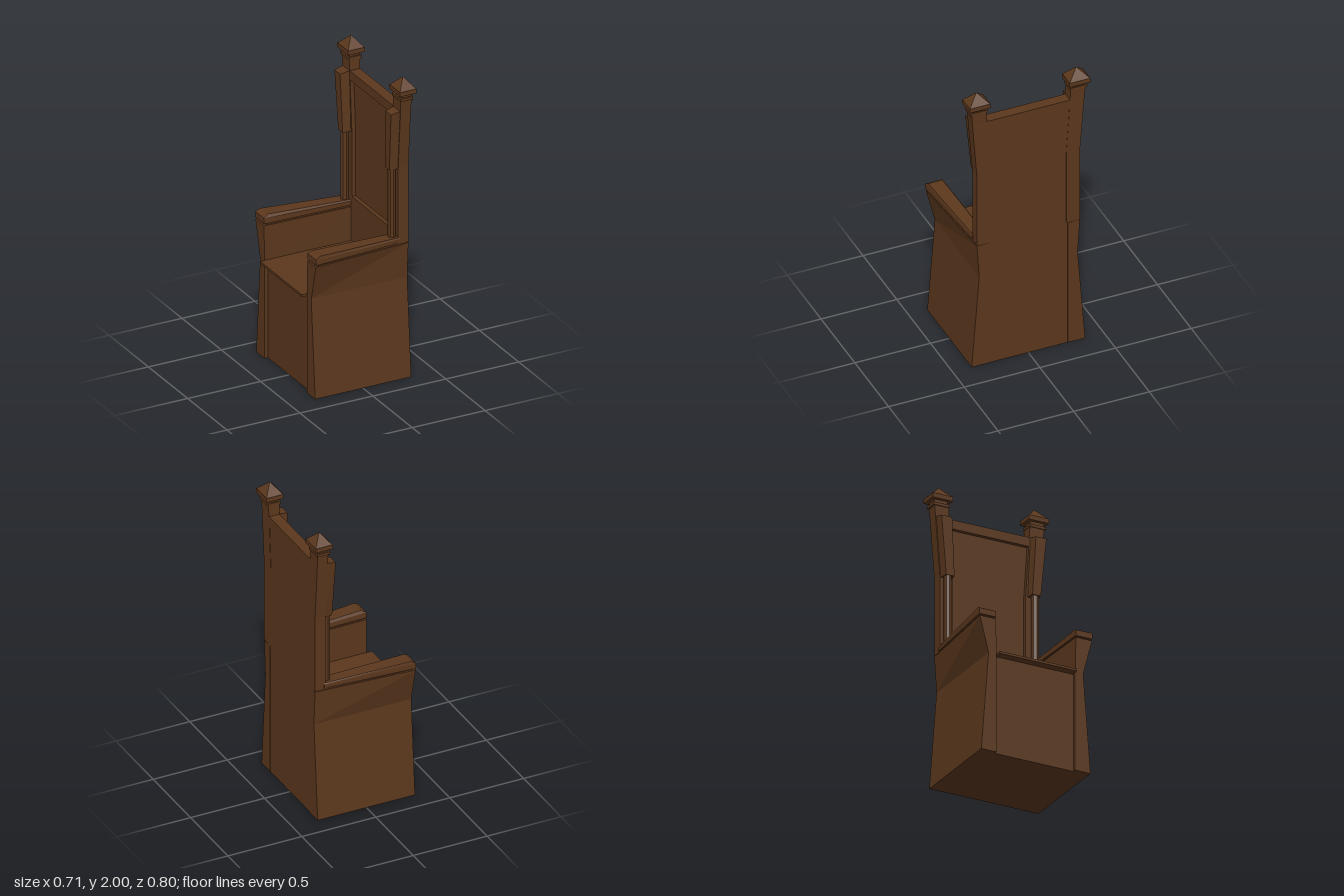
import * as THREE from 'three';

const wood = new THREE.MeshStandardMaterial({ color: 0x5c381d, flatShading: true, roughness: 0.9 });

function add(parent, name, geometry, x = 0, y = 0, z = 0) {
  const mesh = new THREE.Mesh(geometry, wood);
  mesh.name = name;
  mesh.position.set(x, y, z);
  parent.add(mesh);
  return mesh;
}

// Box given by its limits on each axis
function block(parent, name, x0, x1, y0, y1, z0, z1) {
  return add(parent, name, new THREE.BoxGeometry(x1 - x0, y1 - y0, z1 - z0),
    (x0 + x1) / 2, (y0 + y1) / 2, (z0 + z1) / 2);
}

// Stack of four-cornered rings, mirrored by side (+1 or -1).
// Each ring: [y at x0, y at x1, x0, x1, inner z at x0, outer z at x0, inner z at x1, outer z at x1]
function loft(side, rings) {
  const loops = rings.map(([ya, yb, x0, x1, inA, outA, inB, outB]) => {
    const loop = [[x0, ya, outA * side], [x1, yb, outB * side], [x1, yb, inB * side], [x0, ya, inA * side]];
    return side > 0 ? loop : loop.reverse();
  });
  const pos = [];
  const quad = (a, b, c, d) => [a, b, c, a, c, d].forEach((p) => pos.push(...p));
  for (let j = 0; j < loops.length - 1; j++) {
    const lo = loops[j], hi = loops[j + 1];
    for (let i = 0; i < 4; i++) {
      const k = (i + 1) % 4;
      quad(lo[i], lo[k], hi[k], hi[i]);
    }
  }
  quad(...[...loops[0]].reverse());
  quad(...loops[loops.length - 1]);
  const geometry = new THREE.BufferGeometry();
  geometry.setAttribute('position', new THREE.Float32BufferAttribute(pos, 3));
  geometry.computeVertexNormals();
  return geometry;
}

export function createModel() {
  const chair = new THREE.Group();
  chair.name = 'highBackChair';

  // Seat, closed front panel below it, and the lower back
  block(chair, 'seat', -0.36, 0.27, 0.645, 0.66, -0.265, 0.265);
  block(chair, 'baseCore', -0.305, 0.328, 0, 0.648, -0.29, 0.29);
  block(chair, 'lowerBack', 0.26, 0.328, 0.64, 0.89, -0.3, 0.3);

  // Framed back with a recessed panel
  block(chair, 'backPanel', 0.285, 0.328, 0.885, 1.77, -0.29, 0.29);
  block(chair, 'backTopRail', 0.26, 0.33, 1.73, 1.79, -0.29, 0.29);
  block(chair, 'backBottomRail', 0.26, 0.328, 0.885, 0.96, -0.29, 0.29);

  for (const side of [1, -1]) {
    const half = new THREE.Group();
    half.name = side > 0 ? 'leftSide' : 'rightSide';
    chair.add(half);

    // Waisted side wall, flaring towards the front of the arm
    add(half, 'sideWall', loft(side, [
      [0, 0, -0.328, 0.33, 0.27, 0.375, 0.26, 0.375],
      [0.65, 0.65, -0.328, 0.33, 0.27, 0.325, 0.26, 0.325],
      [0.886, 0.886, -0.328, 0.33, 0.275, 0.385, 0.26, 0.34],
    ]));

    // Shadow gap under the arm
    add(half, 'armGap', loft(side, [
      [0.88, 0.88, -0.31, 0.328, 0.285, 0.37, 0.268, 0.335],
      [0.902, 0.902, -0.31, 0.328, 0.285, 0.37, 0.268, 0.335],
    ]));

    // Arm rest with bevelled top edges
    add(half, 'armRest', loft(side, [
      [0.898, 0.898, -0.328, 0.27, 0.275, 0.387, 0.26, 0.345],
      [0.936, 0.924, -0.328, 0.27, 0.275, 0.387, 0.26, 0.345],
      [0.953, 0.932, -0.298, 0.27, 0.286, 0.381, 0.268, 0.34],
    ]));

    // Back post, flaring outward at the top
    add(half, 'backPost', loft(side, [
      [0.892, 0.892, 0.26, 0.33, 0.25, 0.34, 0.25, 0.34],
      [1.4, 1.4, 0.26, 0.33, 0.25, 0.34, 0.25, 0.34],
      [1.79, 1.79, 0.26, 0.33, 0.275, 0.37, 0.275, 0.37],
      [1.865, 1.865, 0.258, 0.333, 0.278, 0.376, 0.278, 0.376],
    ]));

    // Slim column and the wing it carries
    add(half, 'column', new THREE.CylinderGeometry(0.026, 0.026, 0.48, 8), 0.236, 1.16, 0.3 * side);
    add(half, 'wing', loft(side, [
      [1.39, 1.39, 0.207, 0.27, 0.268, 0.325, 0.262, 0.335],
      [1.776, 1.79, 0.2, 0.27, 0.288, 0.36, 0.28, 0.366],
    ]));

    // Post collar, neck and pyramid finial
    const cz = 0.33 * side;
    block(half, 'collar', 0.252, 0.338, 1.862, 1.88, cz - 0.056, cz + 0.056);
    block(half, 'neck', 0.262, 0.33, 1.875, 1.91, cz - 0.045, cz + 0.045);
    block(half, 'finialBase', 0.24, 0.355, 1.903, 1.932, cz - 0.069, cz + 0.069);
    const tip = new THREE.ConeGeometry(Math.SQRT1_2, 0.07, 4).rotateY(Math.PI / 4).scale(0.115, 1, 0.138);
    add(half, 'finialTip', tip, 0.2975, 1.965, cz);
  }
  return chair;
}
